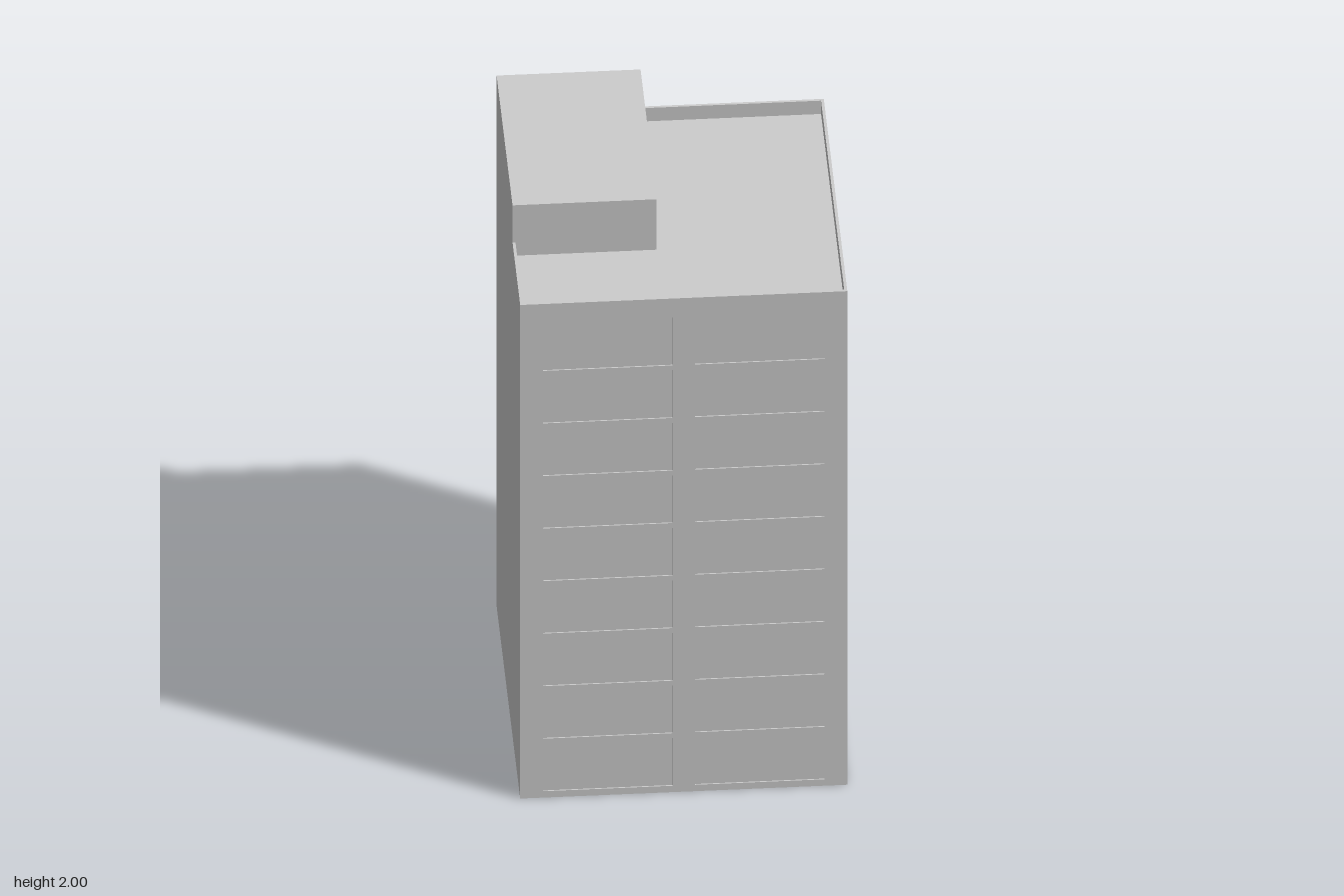
import * as THREE from 'three';

const T = 0.009;          // wall thickness, also door recess
const PANE = 0.005;       // thickness of the window panes behind the face
const IN = 0.5 - T;       // inner face of the walls
const ROOF = 1.81, PARAPET = 1.86, TOP = 2;
const FLOOR = 0.198, SILL = 0.024, WINDOW_H = 0.18;

const material = new THREE.MeshStandardMaterial({ color: 0xcccccc });

function box(name, x0, x1, y0, y1, z0, z1) {
  const mesh = new THREE.Mesh(new THREE.BoxGeometry(x1 - x0, y1 - y0, z1 - z0), material);
  mesh.position.set((x0 + x1) / 2, (y0 + y1) / 2, (z0 + z1) / 2);
  mesh.name = name;
  return mesh;
}

// A wall slab with recessed doors and windows; u runs rightwards seen from outside
function wall(name, outline, turn, distance, windows = [], doors = []) {
  const group = new THREE.Group();
  group.name = name;
  const shape = new THREE.Shape(outline.map(([u, y]) => new THREE.Vector2(u, y)));
  for (const [u0, u1, y0, y1] of [...windows, ...doors]) {
    shape.holes.push(new THREE.Path([
      new THREE.Vector2(u0, y0), new THREE.Vector2(u0, y1),
      new THREE.Vector2(u1, y1), new THREE.Vector2(u1, y0),
    ]));
  }
  const slab = new THREE.Mesh(
    new THREE.ExtrudeGeometry(shape, { depth: T, bevelEnabled: false }), material);
  slab.name = name + 'Slab';
  group.add(slab);
  for (const [u0, u1, y0, y1] of windows) {
    group.add(box('windowPane', u0, u1, y0, y1, 0, PANE));
  }
  group.rotation.y = turn;
  group.position.set(Math.sin(turn) * distance, 0, Math.cos(turn) * distance);
  return group;
}

// Window openings of one column, for a range of floors (0 is the ground floor)
function column(u0, u1, first, last = 8) {
  const list = [];
  for (let i = first; i <= last; i++) {
    const y = SILL + i * FLOOR;
    list.push([u0, u1, y, y + WINDOW_H]);
  }
  return list;
}

const rect = (u0, u1, y0, y1) => [[u0, y0], [u1, y0], [u1, y1], [u0, y1]];

export function createModel() {
  const model = new THREE.Group();
  model.name = 'towerBlock';

  // Solid body, its top is the sunken roof
  model.add(box('body', -IN, IN, 0, ROOF, -IN, IN));

  // Front and right walls rise above the roof as a parapet
  model.add(wall('frontWall', rect(-0.5, 0.5, 0, PARAPET), 0, IN,
    [...column(-0.43, -0.035, 0), ...column(0.035, 0.43, 0)]));
  model.add(wall('entranceWall', rect(-IN, IN, 0, PARAPET), Math.PI / 2, IN,
    [...column(-0.425, -0.035, 1), ...column(0.04, 0.43, 1), ...column(0.13, 0.43, 0, 0)],
    [[-0.07, 0.065, 0.01, 0.145]]));

  // Back and blank side walls step up to the roof house
  model.add(wall('backWall',
    [[-0.5, 0], [0.5, 0], [0.5, TOP], [0.06, TOP], [0.06, PARAPET], [-0.5, PARAPET]],
    Math.PI, IN, column(-0.425, -0.135, 0)));
  model.add(wall('blankWall',
    [[-IN, 0], [IN, 0], [IN, PARAPET], [0.175, PARAPET], [0.175, TOP], [-IN, TOP]],
    -Math.PI / 2, IN));

  // Roof house with its door onto the roof
  model.add(box('roofHouse', -IN, -0.06 - T, ROOF, TOP, -IN, 0.175));
  model.add(wall('roofHouseDoorWall', rect(-0.175, IN, ROOF, TOP), Math.PI / 2, -0.06 - T,
    [], [[0.245, 0.31, ROOF + 0.005, 1.945]]));

  return model;
}
